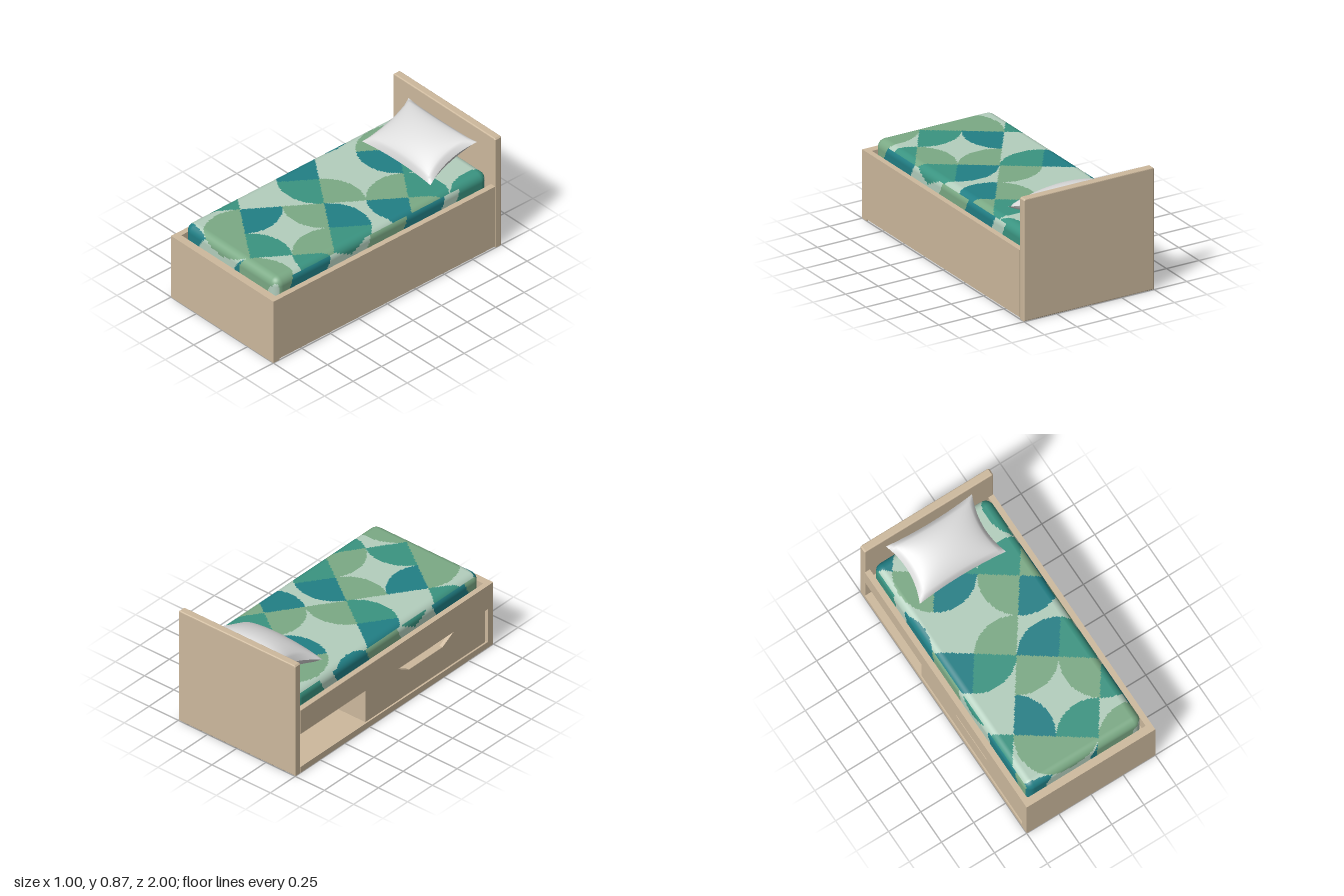
import * as THREE from 'three';

const mat = (name, color) => {
  const m = new THREE.MeshStandardMaterial({ color });
  m.name = name;
  return m;
};

// Fabric pattern: quarter discs on a tilted lattice.
// Each entry is [row, column, quadrant, colour]; later entries lie on top.
const [MINT, SAGE, JADE, TEAL] = [0, 1, 2, 3];
const R = 0.277;
const P = [0.573, -0.82], Q = [0.82, 0.573];
const FANS = [
  [0, 0, 3, SAGE], [0, 0, 1, SAGE], [0, 1, 1, TEAL], [0, 1, 0, JADE],
  [0, -1, 2, TEAL], [0, -1, 3, JADE],
  [2, 0, 1, JADE], [2, 0, 0, SAGE], [2, 0, 3, TEAL], [2, 0, 2, SAGE],
  [2, -2, 3, TEAL], [2, -2, 2, SAGE], [2, -2, 0, JADE], [0, -3, 0, TEAL],
  [-2, 0, 0, TEAL], [-2, 0, 2, JADE], [-2, 1, 2, SAGE], [-2, 1, 3, SAGE],
  [-2, 2, 1, JADE], [-2, 2, 3, TEAL], [0, 2, 2, SAGE], [0, 2, 3, JADE],
  [-2, 3, 1, SAGE], [-2, 3, 2, SAGE], [-4, 1, 1, TEAL], [4, 0, 2, JADE], [3, -3, 2, TEAL],
];
// Bands along the long edges: [z start, colour]
const BANDS = [[0.78, SAGE], [0.45, TEAL], [0.1, JADE], [-0.22, SAGE], [-0.55, TEAL], [-0.68, MINT], [-2, JADE]];

function fabricColour(x, y, z) {
  const drop = Math.min(0.59 - y, 0.1);
  if (Math.abs(x) > 0.437 && Math.abs(z) < 0.9) {
    const bow = 3 * drop * drop;
    const band = BANDS.find(b => z > b[0] + bow)[1];
    return band === JADE && z > 0 && y < 0.5 + 0.5 * Math.abs(z - 0.27) ? MINT : band;
  }
  const v = z + (Math.abs(z) > 0.87 ? Math.sign(z) * drop * 0.9 : 0) - 0.106;
  const a = (x * P[0] + v * P[1]) / R, b = (x * Q[0] + v * Q[1]) / R;
  let colour = MINT;
  for (const [i, j, quad, c] of FANS) {
    const da = a - i, db = b - j;
    const k = da >= 0 ? (db >= 0 ? 0 : 1) : (db < 0 ? 2 : 3);
    if (k === quad && da * da + db * db < 1) colour = c;
  }
  return colour;
}

// Rounded block whose triangles are sorted into one group per fabric colour
function mattressGeometry(w, h, d, r, yMid) {
  const geo = new THREE.BoxGeometry(w, h, d, 90, 16, 186);
  const pos = geo.attributes.position, nor = geo.attributes.normal;
  const half = new THREE.Vector3(w / 2 - r, h / 2 - r, d / 2 - r);
  const low = half.clone().negate();
  const p = new THREE.Vector3(), inner = new THREE.Vector3();
  for (let i = 0; i < pos.count; i++) {
    p.fromBufferAttribute(pos, i);
    inner.copy(p).clamp(low, half);
    p.sub(inner).normalize();
    nor.setXYZ(i, p.x, p.y, p.z);
    p.multiplyScalar(r).add(inner);
    pos.setXYZ(i, p.x, p.y + yMid, p.z);
  }
  const buckets = [[], [], [], []];
  const idx = geo.index.array;
  const mid = new THREE.Vector3(), opposite = new THREE.Vector3();
  for (let i = 0; i < idx.length; i += 6) {
    // Centre of the grid cell, from its diagonal
    mid.fromBufferAttribute(pos, idx[i + 1]);
    opposite.fromBufferAttribute(pos, idx[i + 5]);
    mid.lerp(opposite, 0.5);
    buckets[fabricColour(mid.x, mid.y, mid.z)].push(...idx.slice(i, i + 6));
  }
  geo.clearGroups();
  let start = 0;
  buckets.forEach((b, c) => { geo.addGroup(start, b.length, c); start += b.length; });
  geo.setIndex(buckets.flat());
  return geo;
}

// One half of the pillow: a puffed sheet with pinched edges and pointed corners
function pillowSheet(side) {
  const geo = new THREE.PlaneGeometry(2, 2, 32, 24);
  const pos = geo.attributes.position;
  const tilt = 0.36;
  for (let i = 0; i < pos.count; i++) {
    const u = pos.getX(i) * side, v = pos.getY(i);
    const puff = Math.pow(Math.max(0, (1 - u * u) * (1 - v * v)), 0.45);
    const x = u * (0.335 - 0.045 * (1 - v * v));
    const z = -v * (0.218 - 0.018 * (1 - u * u));
    const y = side * 0.1 * puff;
    pos.setXYZ(i, x - 0.005,
      Math.max(0.591, 0.683 + y * Math.cos(tilt) - z * Math.sin(tilt)),
      -0.735 + y * Math.sin(tilt) * 0.6 + z * Math.cos(tilt));
  }
  geo.computeVertexNormals();
  return geo;
}

export function createModel() {
  const group = new THREE.Group();
  const wood = mat('light wood', 0xcdb99d);
  const white = mat('pillow white', 0xdcdcdc);
  const fabric = [mat('mint', 0xb3cebd), mat('sage green', 0x7baa85),
    mat('jade green', 0x3a9481), mat('deep teal', 0x217f85)];

  const add = (name, geo, material, parent = group) => {
    const m = new THREE.Mesh(geo, material);
    m.name = name;
    parent.add(m);
  };
  // Box given by its low and high corners
  const board = (name, x0, x1, y0, y1, z0, z1, parent) =>
    add(name, new THREE.BoxGeometry(x1 - x0, y1 - y0, z1 - z0)
      .translate((x0 + x1) / 2, (y0 + y1) / 2, (z0 + z1) / 2), wood, parent);

  // Headboard with softened edges
  const hs = new THREE.Shape([[-0.492, 0.008], [0.492, 0.008], [0.492, 0.857], [0.487, 0.862], [-0.487, 0.862], [-0.492, 0.857]]
    .map(([x, y]) => new THREE.Vector2(x, y)));
  add('headboard', new THREE.ExtrudeGeometry(hs, {
    depth: 0.039, bevelSize: 0.008, bevelThickness: 0.008, bevelSegments: 3,
  }).translate(0, 0, -0.992), wood);

  // Frame
  board('footboard', -0.5, 0.5, 0, 0.49, 0.945, 1);
  board('closedSide', 0.46, 0.5, 0.012, 0.49, -0.945, 0.945);
  board('openSideRail', -0.5, -0.46, 0.305, 0.49, -0.945, 0.945);
  board('baseBoard', -0.5, 0.485, 0, 0.045, -0.945, 0.945);
  board('mattressPlatform', -0.46, 0.46, 0.305, 0.34, -0.945, 0.945);

  // Sliding drawer with a tapered hand cut-out in its front
  const drawer = new THREE.Group();
  drawer.name = 'drawer';
  group.add(drawer);
  const front = new THREE.Shape([[-0.28, 0.048], [0.93, 0.048], [0.93, 0.3], [0.62, 0.3],
    [0.5, 0.233], [0.16, 0.233], [0.04, 0.3], [-0.28, 0.3]].map(([z, y]) => new THREE.Vector2(z, y)));
  add('drawerFront', new THREE.ExtrudeGeometry(front, { depth: 0.025, bevelEnabled: false })
    .rotateY(-Math.PI / 2).translate(-0.465, 0, 0), wood, drawer);
  for (const z of [-0.28, 0.905]) board('drawerSide', -0.465, 0.4, 0.048, 0.295, z, z + 0.025, drawer);
  board('drawerBack', 0.38, 0.4, 0.048, 0.295, -0.255, 0.905, drawer);
  board('drawerFloor', -0.465, 0.38, 0.048, 0.065, -0.255, 0.905, drawer);

  // Bedding
  add('mattress', mattressGeometry(0.9, 0.25, 1.86, 0.06, 0.465), fabric);
  const pillow = new THREE.Group();
  pillow.name = 'pillow';
  group.add(pillow);
  add('pillowTop', pillowSheet(1), white, pillow);
  add('pillowUnderside', pillowSheet(-1), white, pillow);

  return group;
}
